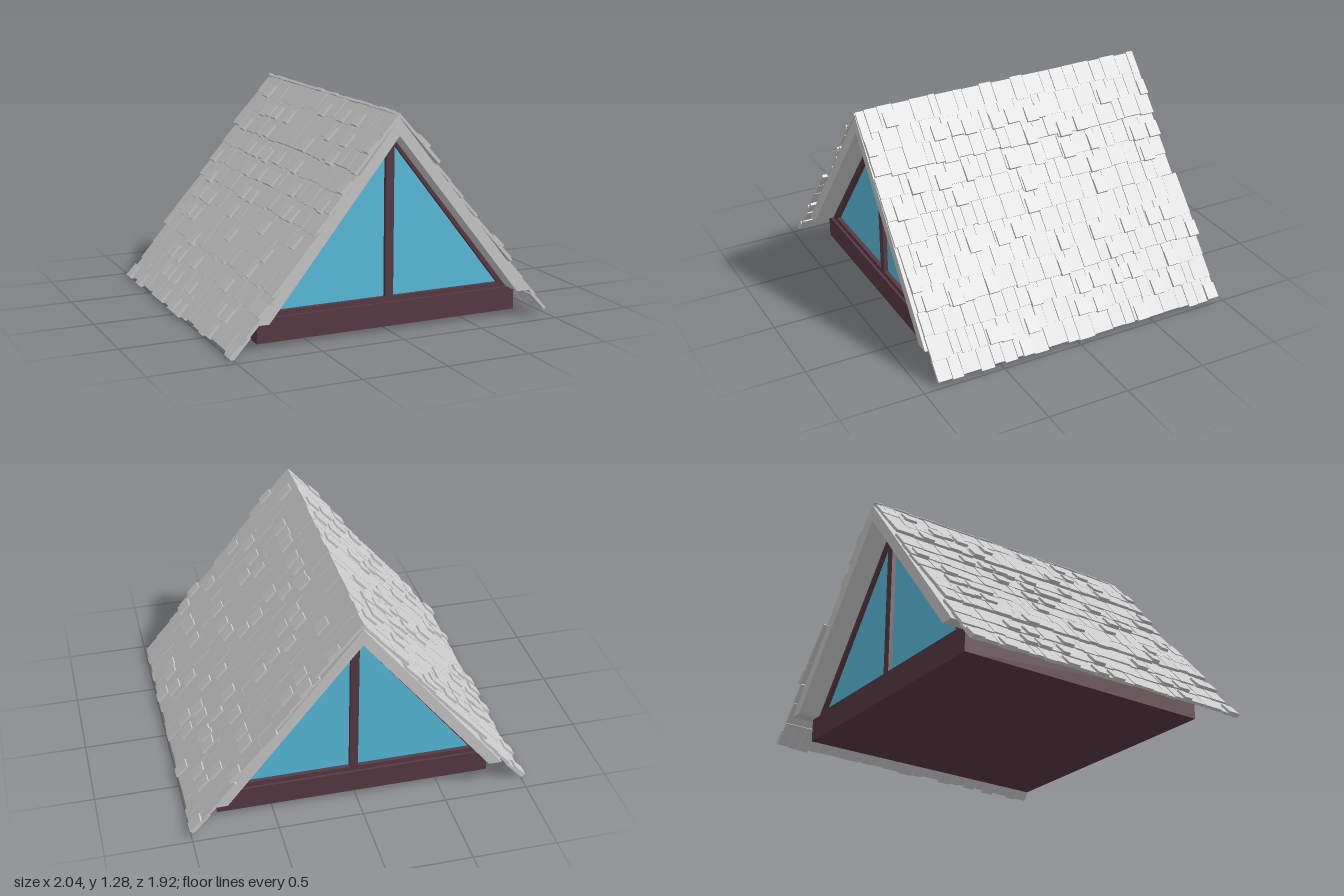
import * as THREE from 'three';
import { mergeGeometries } from 'three/addons/utils/BufferGeometryUtils.js';

const grey = new THREE.MeshStandardMaterial({ color: 0xcccccc });
const wood = new THREE.MeshStandardMaterial({ color: 0x593a44 });
const glass = new THREE.MeshStandardMaterial({ color: 0x5abfe0, side: THREE.DoubleSide });

// Small seeded generator for the uneven shingles
function seeded(seed) {
  return () => {
    seed = (seed * 16807) % 2147483647;
    return seed / 2147483647;
  };
}

function add(parent, name, geometry, material, x = 0, y = 0, z = 0) {
  const mesh = new THREE.Mesh(geometry, material);
  mesh.name = name;
  mesh.position.set(x, y, z);
  parent.add(mesh);
  return mesh;
}

const polygon = (pts) => pts.map(([x, y]) => new THREE.Vector2(x, y));
const extrude = (shape, depth) => new THREE.ExtrudeGeometry(shape, { depth, bevelEnabled: false });

// One box laid on the slope: u runs down the slope, v outward, w along the ridge
function slopeBox(u0, u1, v, thick, w0, w1, tilt) {
  const g = new THREE.BoxGeometry(u1 - u0, thick, w1 - w0);
  g.rotateZ(tilt);
  g.translate((u0 + u1) / 2, v + thick / 2, (w0 + w1) / 2);
  return g;
}

// A panel of three shingle courses
function shinglePanel(u0, u1, lift, w0, w1, rand) {
  const parts = [];
  const rows = 3;
  const step = (u1 - u0) / rows;
  for (let r = 0; r < rows; r++) {
    const top = u0 + r * step;
    const v = 0.002 + lift * (r + 0.5) / rows;
    let w = w0;
    while (w < w1 - 0.001) {
      let width = 0.045 + rand() * 0.085;
      if (w + width > w1 - 0.04) width = w1 - w;
      const raised = rand() < 0.24;
      const start = top - (r === 0 ? rand() * 0.012 : 0.012);
      const end = top + step + (rand() - 0.5) * 0.022;
      parts.push(slopeBox(start, end, v, 0.014 + rand() * 0.005, w + 0.0015, w + width - 0.0015, 0.06));
      // thicker short slates standing proud of the course
      if (raised) {
        const n = Math.min(width, 0.075);
        parts.push(slopeBox(end - 0.085, end + 0.008, v + 0.008, 0.024, w, w + n, 0.1));
      }
      w += width;
    }
  }
  return mergeGeometries(parts);
}

const SLOPE = Math.atan(1.25);
const RIDGE = 1.245;

function roofSide(name, seed, uStart, uEnd) {
  const rand = seeded(seed);
  const side = new THREE.Group();
  side.name = name;
  const slope = new THREE.Group();
  slope.name = 'shingleSlope';
  slope.position.y = RIDGE;
  slope.rotation.z = -SLOPE;
  side.add(slope);
  const step = (uEnd - uStart) / 4;
  for (let i = 0; i < 4; i++) {
    // lower half is shifted along the ridge
    const [w0, w1] = i < 2 ? [-0.93, 0.925] : [-0.96, 0.91];
    const lift = i % 2 ? 0.002 : 0.018;
    const u = uStart + i * step;
    add(slope, 'shinglePanel' + (i + 1), shinglePanel(u, u + step, lift, w0, w1, rand), grey);
  }
  return side;
}

// Triangular window frame with a central mullion, and its two panes
function gable(name) {
  const g = new THREE.Group();
  g.name = name;
  const shape = new THREE.Shape(polygon([[-0.785, 0.17], [0.785, 0.17], [0, 1.15]]));
  const panes = [1, -1].map((s) => polygon([[s * 0.025, 0.2], [s * 0.715, 0.2], [s * 0.025, 1.075]]));
  panes.forEach((p) => shape.holes.push(new THREE.Path(p)));
  add(g, 'windowFrame', extrude(shape, 0.05), wood, 0, 0, 0.75);
  panes.forEach((p, i) => {
    add(g, i ? 'rightPane' : 'leftPane', new THREE.ShapeGeometry(new THREE.Shape(p)), glass, 0, 0, 0.775);
  });
  return g;
}

export function createModel() {
  const model = new THREE.Group();
  model.name = 'roof';

  // Solid attic floor
  add(model, 'floorBase', new THREE.BoxGeometry(1.635, 0.14, 1.63), wood, 0.007, 0.1, 0);

  // Chevron roof deck overhanging both gables
  const deck = new THREE.Shape(polygon([
    [-0.86, 0.17], [-0.78, 0.17], [0, 1.145], [0.78, 0.17], [0.86, 0.17], [0, RIDGE],
  ]));
  add(model, 'roofDeck', extrude(deck, 1.86), grey, 0, 0, -0.935);

  // Glazed gables, front and back
  const front = gable('frontGable');
  front.position.x = 0.007;
  const back = gable('backGable');
  back.position.x = 0.007;
  back.rotation.y = Math.PI;
  model.add(front, back);

  // Shingled slopes
  const left = roofSide('leftRoof', 4711, -0.02, 1.565);
  const right = roofSide('rightRoof', 9137, 0.0, 1.585);
  right.rotation.y = Math.PI;
  model.add(left, right);

  return model;
}
